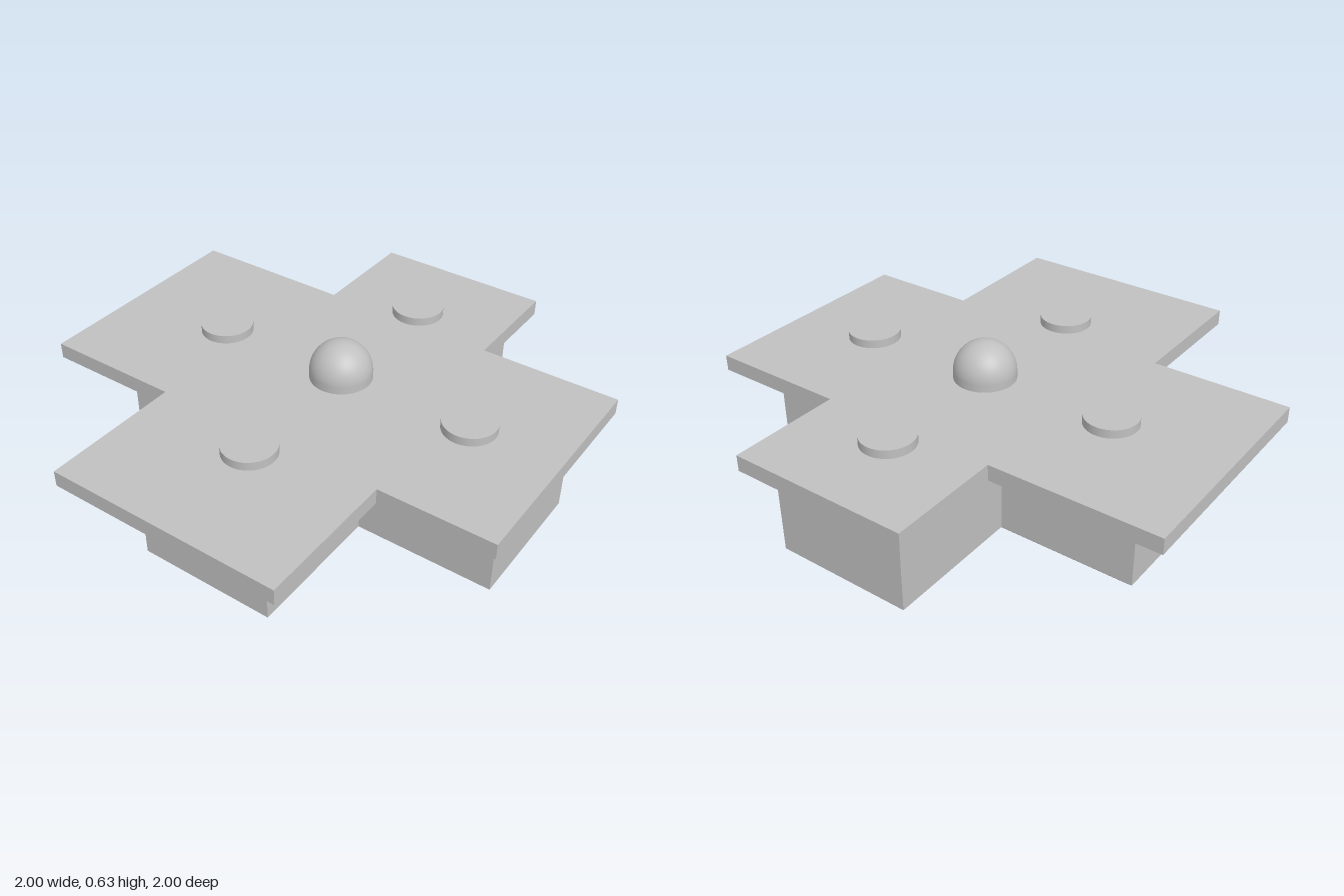
import * as THREE from 'three';

const C = 0.055; // the cross is centred slightly off the origin in x and z

// Extrudes an outline given as [x, z] points upward from y = 0
function extrudeUp(points, options) {
  const shape = new THREE.Shape(points.map(([x, z]) => new THREE.Vector2(x, -z)));
  return new THREE.ExtrudeGeometry(shape, { bevelEnabled: false, ...options }).rotateX(-Math.PI / 2);
}

export function createModel() {
  const group = new THREE.Group();
  const grey = new THREE.MeshStandardMaterial({ color: 0xc0c0c0 });
  grey.name = 'grey';

  const add = (name, geometry, x = 0, y = 0, z = 0) => {
    const mesh = new THREE.Mesh(geometry, grey);
    mesh.name = name;
    mesh.position.set(x, y, z);
    group.add(mesh);
  };

  // Cross-shaped body with a chamfered lower edge
  const chamfer = 0.045, bodyTop = 0.41;
  const a = 0.285 - chamfer, b = 0.855 - chamfer;
  const cross = [
    [-a, -b], [-a, -a], [-b, -a], [-b, a], [-a, a], [-a, b],
    [a, b], [a, a], [b, a], [b, -a], [a, -a], [a, -b],
  ];
  const body = extrudeUp(cross, {
    depth: bodyTop - chamfer, bevelEnabled: true,
    bevelSegments: 1, bevelSize: chamfer, bevelThickness: chamfer,
  }).translate(0, chamfer, 0);
  // Flatten the upper bevel so the body ends squarely under the plate
  const pos = body.attributes.position;
  for (let i = 0; i < pos.count; i++) pos.setY(i, Math.min(pos.getY(i), bodyTop));
  body.computeVertexNormals();
  add('body', body, C, 0, C);

  // Overhanging top plate, with one narrower arm on +x
  add('topPlate', extrudeUp([
    [-0.425, -1], [-0.425, -0.43], [-1, -0.43], [-1, 0.535], [-0.425, 0.535], [-0.425, 1],
    [0.535, 1], [0.535, 0.425], [1, 0.425], [1, -0.315], [0.535, -0.315], [0.535, -1],
  ], { depth: 0.065 }), 0, bodyTop, 0);

  // Low round button on each arm
  const button = new THREE.CylinderGeometry(0.107, 0.107, 0.035, 64);
  const names = ['leftButton', 'frontButton', 'rightButton', 'backButton'];
  names.forEach((name, i) => {
    const t = i * Math.PI / 2;
    add(name, button, C + 0.572 * Math.cos(t), 0.4925, C + 0.572 * Math.sin(t));
  });

  // Central knob: short cylinder capped by a hemisphere
  const r = 0.125, rim = 0.03;
  add('knobBase', new THREE.CylinderGeometry(r, r, rim, 64, 1, true), C, 0.475 + rim / 2, C);
  add('knobDome', new THREE.SphereGeometry(r, 64, 24, 0, Math.PI * 2, 0, Math.PI / 2), C, 0.475 + rim, C);

  return group;
}
